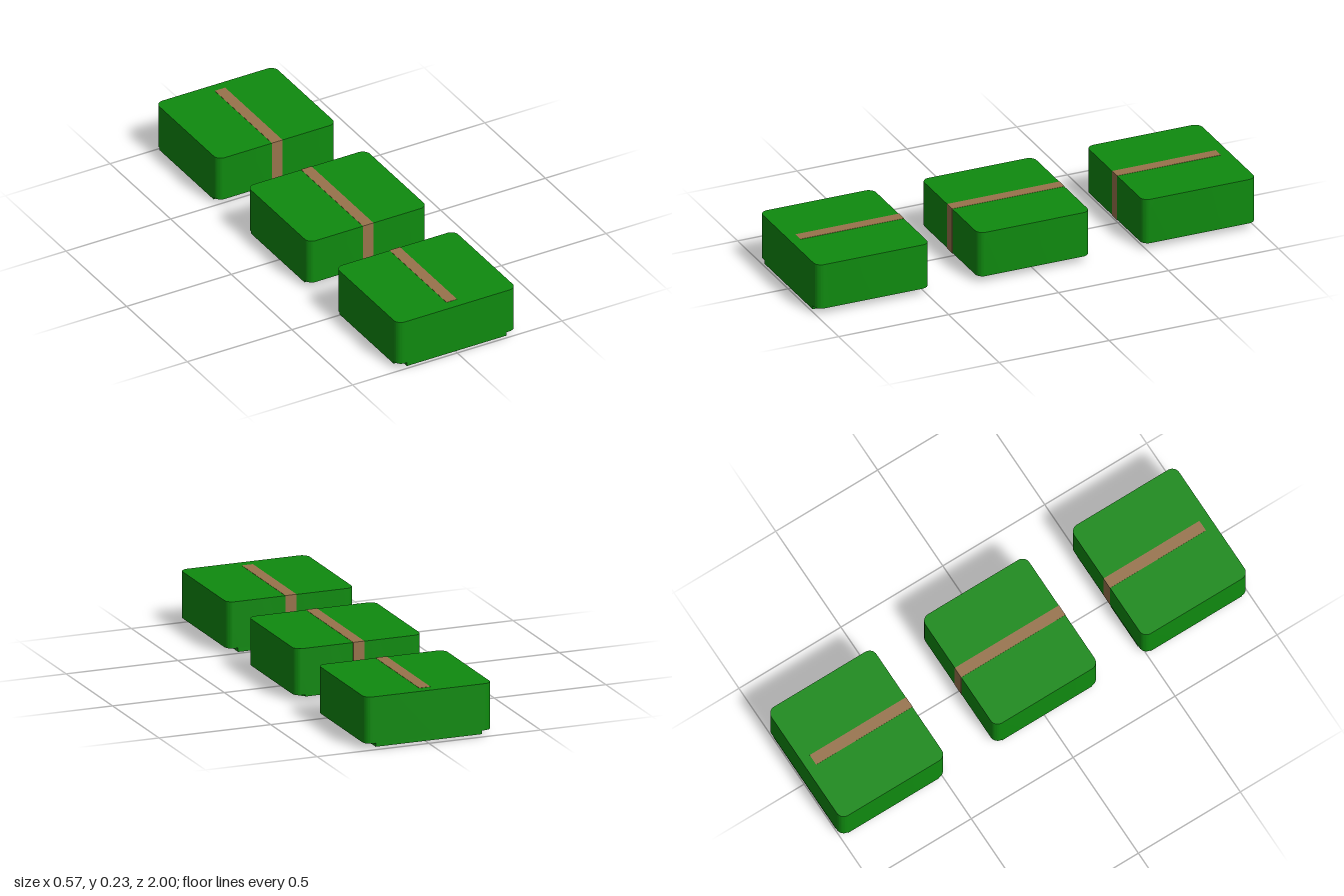
import * as THREE from 'three';
import { toCreasedNormals } from 'three/addons/utils/BufferGeometryUtils.js';

const green = new THREE.MeshStandardMaterial({ color: 0x0f8a0f });
const brown = new THREE.MeshStandardMaterial({ color: 0x98734c });
const HALF = 0.284, TOP = 0.229, BASE = 0.028, STRIP = 0.025, RADIUS = 0.034;

// Box given by its limits on each axis
function slab(name, material, x0, x1, y0, y1, z0, z1) {
  const mesh = new THREE.Mesh(new THREE.BoxGeometry(x1 - x0, y1 - y0, z1 - z0), material);
  mesh.position.set((x0 + x1) / 2, (y0 + y1) / 2, (z0 + z1) / 2);
  mesh.name = name;
  return mesh;
}

// Block with rounded upright corners
function block(z0, z1) {
  const s = new THREE.Shape(), r = RADIUS, h = HALF;
  s.moveTo(-h + r, -z1);
  s.lineTo(h - r, -z1);
  s.absarc(h - r, -z1 + r, r, -Math.PI / 2, 0);
  s.lineTo(h, -z0 - r);
  s.absarc(h - r, -z0 - r, r, 0, Math.PI / 2);
  s.lineTo(-h + r, -z0);
  s.absarc(-h + r, -z0 - r, r, Math.PI / 2, Math.PI);
  s.lineTo(-h, -z1 + r);
  s.absarc(-h + r, -z1 + r, r, Math.PI, Math.PI * 1.5);
  const geo = new THREE.ExtrudeGeometry(s, { depth: TOP - BASE, bevelEnabled: false, curveSegments: 8 });
  geo.rotateX(-Math.PI / 2).translate(0, BASE, 0);
  const mesh = new THREE.Mesh(toCreasedNormals(geo, 0.6), green);
  mesh.name = 'body';
  return mesh;
}

export function createModel() {
  const model = new THREE.Group();
  model.name = 'threeBlocks';

  // z limits, strip limits, bottom panel limits, end lip [z0, z1, bottom], strip on back and front faces
  const units = [
    { name: 'backBlock', z: [-1, -0.485], strip: [-0.957, -0.485], panel: [-0.95, -0.53], lip: [-0.998, -0.95, 0.012], back: false, front: true },
    { name: 'middleBlock', z: [-0.245, 0.265], strip: [-0.245, 0.265], panel: [-0.2, 0.22], lip: [-0.243, -0.2, 0.02], back: true, front: true },
    { name: 'frontBlock', z: [0.485, 1], strip: [0.485, 0.955], panel: [0.488, 0.9], lip: [0.952, 0.998, 0.01], back: true, front: false },
  ];

  for (const u of units) {
    const g = new THREE.Group();
    g.name = u.name;
    const [z0, z1] = u.z, [s0, s1] = u.strip, [p0, p1] = u.panel, e = 0.001;
    g.add(block(z0, z1));

    // Brown band over the top, underneath and down the inner faces
    g.add(slab('topStrip', brown, -STRIP, STRIP, TOP - 0.01, TOP + e, s0, s1));
    g.add(slab('bottomStrip', brown, -STRIP, STRIP, BASE - 0.003, BASE + 0.01, s0, s1));
    if (u.back) g.add(slab('backStrip', brown, -STRIP, STRIP, BASE, TOP + e, z0 - e, z0 + 0.01));
    if (u.front) g.add(slab('frontStrip', brown, -STRIP, STRIP, BASE, TOP + e, z1 - 0.01, z1 + e));

    // Stepped panels and lips on the underside
    g.add(slab('rightBottomPanel', green, -0.234, -STRIP, 0, BASE + 0.005, p0, p1));
    g.add(slab('leftBottomPanel', green, STRIP, 0.235, 0.01, BASE + 0.005, p0, p1));
    g.add(slab('sideLip', green, -HALF, -0.239, 0.018, BASE + 0.005, z0 + RADIUS, z1 - RADIUS));
    g.add(slab('endLip', green, -0.239, 0.237, u.lip[2], BASE + 0.005, u.lip[0], u.lip[1]));
    model.add(g);
  }
  return model;
}
